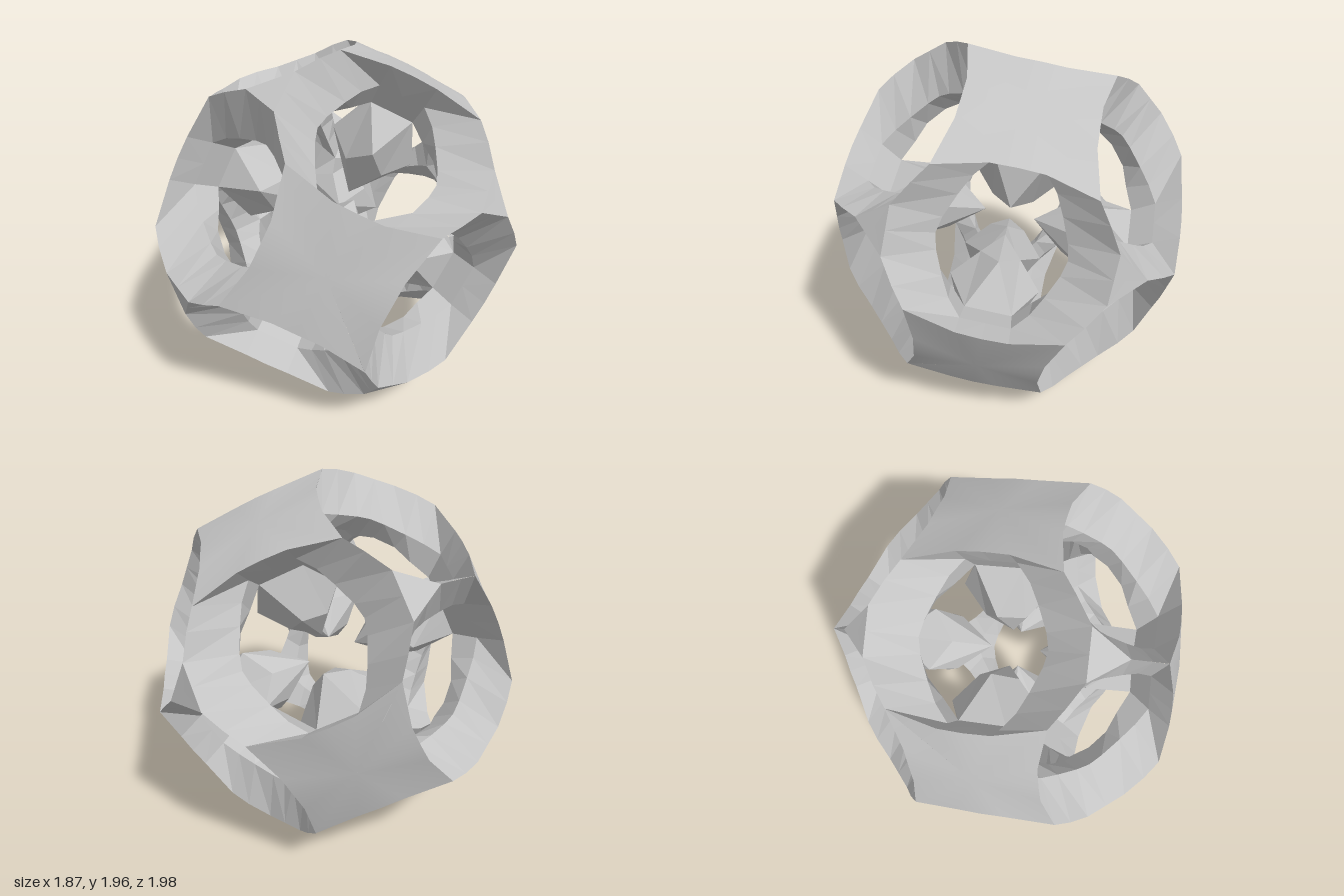
import * as THREE from 'three';
import { mergeVertices } from 'three/addons/utils/BufferGeometryUtils.js';

const grey = new THREE.MeshStandardMaterial({ color: 0xc4c4c4 });
grey.name = 'plain grey';

// Inner ends of the hole walls lie on the planes shared with the neighbouring holes
const onSeam = (u, v) => [u, v, u + Math.SQRT2 * v];

// Quarter profiles around one hole: [across to plate, across to strut junction, along hole axis]
const plateMid = onSeam(0.64, 0);
const junctionMid = [0, 0.572, 0.808];
const rim = [[0.4, 0, 0.854], [0.396, 0.125, 0.852], [0.337, 0.373, 0.865], [0.24, 0.441, 0.864], [0.121, 0.515, 0.849], [0, 0.515, 0.849]];
const throat = [[0.385, 0, 0.7], [0.385, 0.125, 0.7], [0.3, 0.195, 0.7], [0.2, 0.245, 0.7], [0.08, 0.295, 0.7], [0, 0.313, 0.7]];
const inner = [[0.382, 0, 0.552], onSeam(0.382, 0.12), onSeam(0.28, 0.205), onSeam(0.19, 0.285), onSeam(0.08, 0.355), onSeam(0, 0.39)];
// Gently domed plate and flat junction triangle; null leaves the rest of the ring open
const plate = [plateMid, plateMid, plateMid, null, null, null];
const junction = [null, null, null, null, junctionMid, junctionMid];
// Pointed knob hanging inward from each plate
const girth = [[0.141, 0, 0.481], onSeam(0.158, 0.106), null, null, null, null];
const tip = [onSeam(0.099, 0), onSeam(0.099, 0), null, null, null, null];

// Mirror a quarter profile into a closed ring
function fullRing(q) {
  const flip = (list, su, sv) => list.map(p => p && new THREE.Vector3(p[0] * su, p[1] * sv, p[2]));
  const back = [...q].reverse();
  return [
    ...flip(q, 1, 1),
    ...flip(back.slice(1), -1, 1),
    ...flip(q.slice(1), -1, -1),
    ...flip(back.slice(1, -1), 1, -1),
  ];
}

// Three orthogonal plate directions
function plateAxes() {
  const a = new THREE.Vector3(0.635, 0.15, 0.545).normalize();
  const c = new THREE.Vector3(-0.11, -0.75, 0.38);
  c.addScaledVector(a, -c.dot(a)).normalize();
  return [a, new THREE.Vector3().crossVectors(c, a), c];
}

// One frame per hole: twelve holes, midway between neighbouring plates
function holeFrames() {
  const e = plateAxes(), frames = [];
  for (let i = 0; i < 3; i++) {
    for (const s of [1, -1]) for (const t of [1, -1]) {
      const p = e[i].clone().multiplyScalar(s), q = e[(i + 1) % 3].clone().multiplyScalar(t);
      const axis = p.clone().add(q).normalize();
      const u = p.clone().sub(q).normalize();
      const v = new THREE.Vector3().crossVectors(axis, u);
      frames.push(new THREE.Matrix4().makeBasis(u, v, axis));
    }
  }
  return frames;
}

// Band between two rings, repeated at every hole; faceted unless smooth
function bandMesh(name, outerQuarter, innerQuarter, frames, smooth = false) {
  const A = fullRing(outerQuarter), B = fullRing(innerQuarter);
  const pos = [];
  for (const m of frames) {
    const tri = (...pts) => {
      const area = pts[1].clone().sub(pts[0]).cross(pts[2].clone().sub(pts[0])).length();
      if (area > 1e-6) for (const p of pts) pos.push(...p.clone().applyMatrix4(m).toArray());
    };
    for (let k = 0; k < A.length; k++) {
      const n = (k + 1) % A.length;
      if (!A[k] || !A[n] || !B[k] || !B[n]) continue;
      // Mirror the diagonal so facets stay symmetrical
      if (A[k].x * A[k].y + A[n].x * A[n].y > 0) {
        tri(A[k], A[n], B[k]);
        tri(A[n], B[n], B[k]);
      } else {
        tri(A[k], A[n], B[n]);
        tri(A[k], B[n], B[k]);
      }
    }
  }
  let g = new THREE.BufferGeometry();
  g.setAttribute('position', new THREE.Float32BufferAttribute(pos, 3));
  if (smooth) g = mergeVertices(g, 0.004);
  g.computeVertexNormals();
  const mesh = new THREE.Mesh(g, grey);
  mesh.name = name;
  return mesh;
}

export function createModel() {
  const group = new THREE.Group();
  group.name = 'drilledBall';
  const frames = holeFrames();
  group.add(
    bandMesh('domedPlates', plate, rim, frames, true),
    bandMesh('strutJunctions', junction, rim, frames),
    bandMesh('holeBevels', rim, throat, frames),
    bandMesh('holeWalls', throat, inner, frames),
    bandMesh('knobShoulders', inner, girth, frames),
    bandMesh('knobPoints', girth, tip, frames),
  );
  group.position.y = 0.98;
  return group;
}
